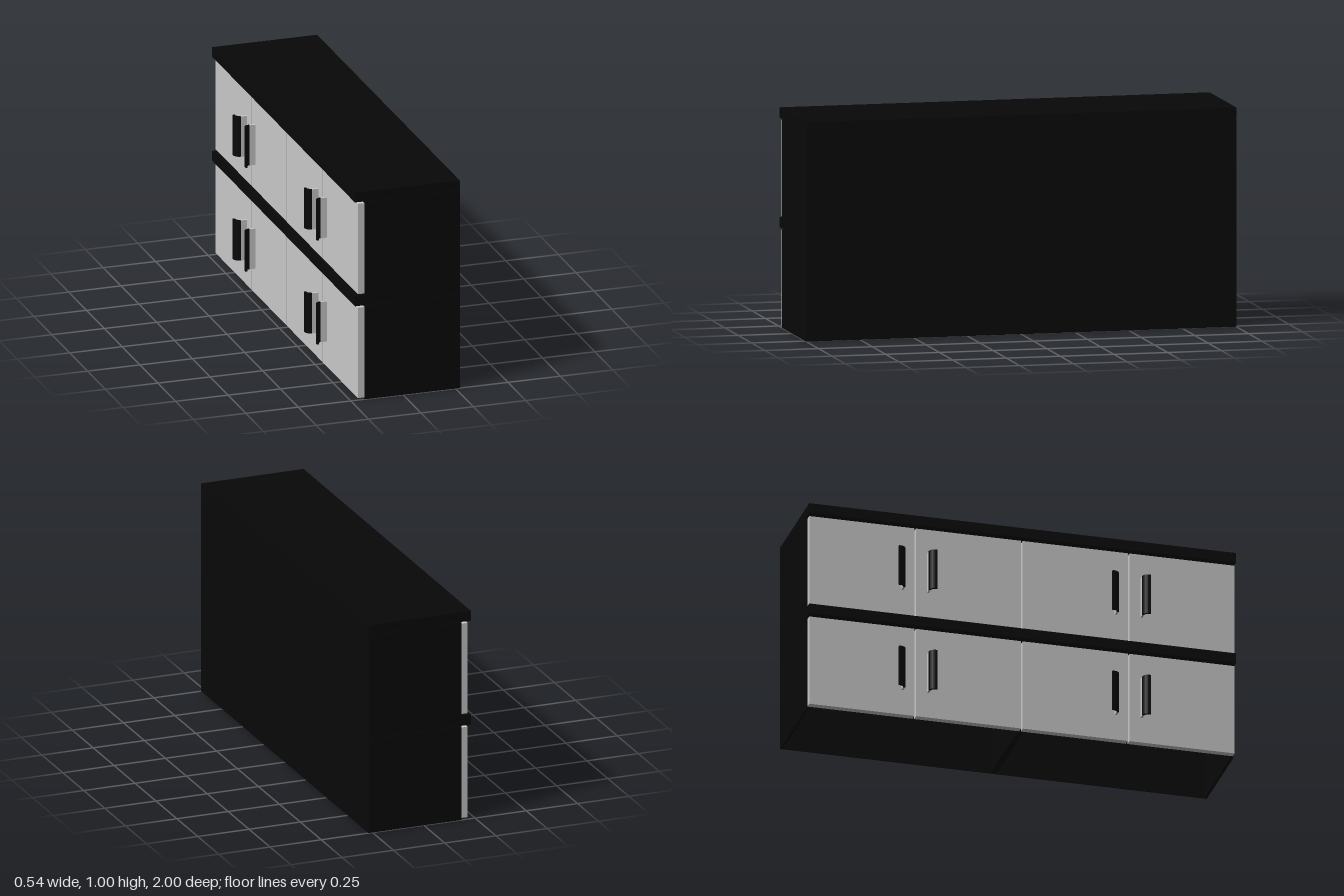
import * as THREE from 'three';

const black = new THREE.MeshStandardMaterial({ color: 0x080808 });
const grey = new THREE.MeshStandardMaterial({ color: 0xcccccc });

// Box given by its limits on each axis
function box(name, material, [x0, x1], [y0, y1], [z0, z1]) {
  const mesh = new THREE.Mesh(new THREE.BoxGeometry(x1 - x0, y1 - y0, z1 - z0), material);
  mesh.name = name;
  mesh.position.set((x0 + x1) / 2, (y0 + y1) / 2, (z0 + z1) / 2);
  return mesh;
}

// Hooked pull: a straight grey web with a dark lip curling to one side
function createHandle(side) {
  const handle = new THREE.Group();
  handle.name = 'handle';
  const height = 0.193, half = 0.005, radius = 0.022;
  handle.add(box('handleWeb', grey, [-0.245, -0.215], [0, height], [-half, half]));

  // Lip outline: quarter ring followed by a short straight end
  const outline = [];
  const steps = 6;
  for (const [r, reverse] of [[radius + half, false], [radius - half, true]]) {
    const row = [];
    for (let i = 0; i <= steps; i++) {
      const a = (i / steps) * Math.PI / 2;
      row.push([-0.245 - r * Math.sin(a), radius - r * Math.cos(a)]);
    }
    row.push([-0.245 - r, radius + 0.008]);
    outline.push(...(reverse ? row.reverse() : row));
  }
  const shape = new THREE.Shape(outline.map(([x, z]) => new THREE.Vector2(x, -side * z)));
  const geometry = new THREE.ExtrudeGeometry(shape, { depth: height, bevelEnabled: false });
  geometry.rotateX(-Math.PI / 2);
  const lip = new THREE.Mesh(geometry, black);
  lip.name = 'handleLip';
  handle.add(lip);
  return handle;
}

// One bottomless cabinet, centred on z = 0
function createCabinet() {
  const cabinet = new THREE.Group();
  cabinet.name = 'cabinet';
  const wall = 0.014, back = 0.006, rim = 0.45, frontX = -0.183, backX = 0.27;

  // Carcass: side walls and back panel
  for (const s of [-1, 1]) {
    const c = s * (0.5 - wall / 2);
    cabinet.add(box('sideWall', black, [frontX, backX], [0, rim], [c - wall / 2, c + wall / 2]));
  }
  cabinet.add(box('backPanel', black, [backX - back, backX], [0, rim], [-0.5 + wall, 0.5 - wall]));

  // Overhanging top with a plate that drops between the walls
  cabinet.add(box('top', black, [-0.23, backX], [0.453, 0.5], [-0.5, 0.5]));
  cabinet.add(box('topPlate', black, [frontX, backX - back], [0.445, 0.453], [-0.5 + wall, 0.5 - wall]));

  // Pair of doors with handles next to the central seam
  for (const s of [-1, 1]) {
    const limits = [s * 0.004, s * 0.496].sort((a, b) => a - b);
    cabinet.add(box('door', grey, [-0.215, frontX], [0.008, 0.443], limits));
    const handle = createHandle(s);
    handle.position.set(0, 0.13, s * 0.06);
    cabinet.add(handle);
  }
  return cabinet;
}

export function createModel() {
  const model = new THREE.Group();
  model.name = 'stackedCabinets';
  // Two tiers of two cabinets
  for (const y of [0, 0.5]) {
    for (const z of [-0.5, 0.5]) {
      const cabinet = createCabinet();
      cabinet.position.set(0, y, z);
      model.add(cabinet);
    }
  }
  return model;
}
